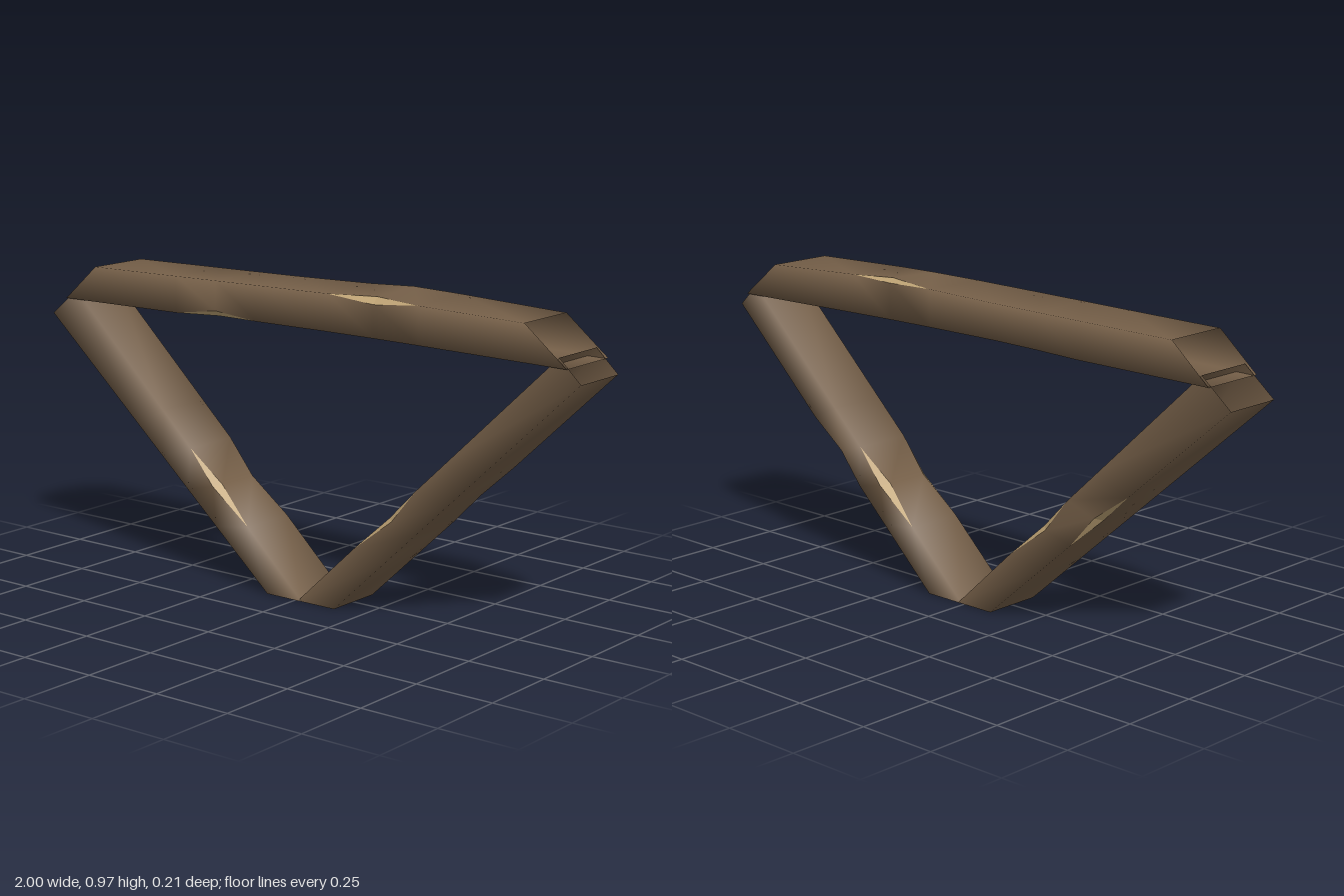
import * as THREE from 'three';
import { mergeVertices } from 'three/addons/utils/BufferGeometryUtils.js';

const wood = new THREE.MeshStandardMaterial({ color: 0x755f48, side: THREE.DoubleSide });
wood.name = 'weathered wood';
const bareWood = new THREE.MeshStandardMaterial({ color: 0xc2a677, side: THREE.DoubleSide });
bareWood.name = 'bare wood';

// Open-ended timber. Stations run towards +x: upper [x, y], lower [x, y] and
// chip depths for the four long edges: upper front, upper back, lower back, lower front.
function timber(name, halfDepth, stations) {
  const rings = stations.map(({ upper, lower, chips = [0, 0, 0, 0], lift = 0 }) => {
    const corners = [
      new THREE.Vector3(upper[0], upper[1], halfDepth),
      new THREE.Vector3(upper[0], upper[1] + lift, -halfDepth),
      new THREE.Vector3(lower[0], lower[1], -halfDepth),
      new THREE.Vector3(lower[0], lower[1], halfDepth),
    ];
    return corners.flatMap((c, i) => [3, 1].map((step) => {
      const dir = corners[(i + step) % 4].clone().sub(c).normalize();
      return c.clone().addScaledVector(dir, chips[i]);
    }));
  });

  const woodPoints = [];
  const chipPoints = [];
  const addTriangle = (list, a, b, c) => {
    const area = b.clone().sub(a).cross(c.clone().sub(a)).length();
    if (area > 1e-7) for (const p of [a, b, c]) list.push(p.x, p.y, p.z);
  };
  for (let k = 0; k < rings.length - 1; k++) {
    for (let j = 0; j < 8; j++) {
      const n = (j + 1) % 8;
      const list = j % 2 ? woodPoints : chipPoints;
      addTriangle(list, rings[k][j], rings[k + 1][j], rings[k][n]);
      addTriangle(list, rings[k + 1][j], rings[k + 1][n], rings[k][n]);
    }
  }

  const toGeometry = (points) => {
    const geometry = new THREE.BufferGeometry();
    geometry.setAttribute('position', new THREE.Float32BufferAttribute(points, 3));
    return geometry;
  };
  // Shared corners give the timber its soft, rounded shading
  const body = mergeVertices(toGeometry(woodPoints), 1e-4);
  body.computeVertexNormals();
  const scars = toGeometry(chipPoints);
  scars.computeVertexNormals();

  const group = new THREE.Group();
  group.name = name;
  const bodyMesh = new THREE.Mesh(body, wood);
  bodyMesh.name = name + 'Timber';
  const scarMesh = new THREE.Mesh(scars, bareWood);
  scarMesh.name = name + 'Chips';
  group.add(bodyMesh, scarMesh);
  return group;
}

// Sloping brace from its foot to its top, chipped on both inner edges and the outer back edge
function brace(name, foot, top) {
  const mix = (a, b, t) => [a[0] + (b[0] - a[0]) * t, a[1] + (b[1] - a[1]) * t];
  const chipsAt = { 0.36: [0.022, 0.024, 0, 0], 0.48: [0, 0, 0.02, 0] };
  const stations = [0, 0.23, 0.36, 0.48, 0.6, 1].map((t) => ({
    upper: mix(foot.inner, top.inner, t),
    lower: mix(foot.outer, top.outer, t),
    chips: chipsAt[t],
  }));
  if (top.outer[0] < foot.outer[0]) stations.reverse();
  return timber(name, 0.096, stations);
}

export function createModel() {
  const model = new THREE.Group();
  model.name = 'timberBracket';

  // Crossbeam with mitred ends
  model.add(timber('crossbeam', 0.107, [
    { upper: [-0.8, 0.95], lower: [-0.93, 0.837] },
    { upper: [-0.46, 0.954], lower: [-0.46, 0.84] },
    { upper: [-0.3, 0.956], lower: [-0.3, 0.845], chips: [0, 0, 0, 0.018] },
    { upper: [-0.14, 0.958], lower: [-0.14, 0.848] },
    { upper: [0.13, 0.961], lower: [0.13, 0.848], lift: 0.003 },
    { upper: [0.3, 0.966], lower: [0.3, 0.847], chips: [0.02, 0.015, 0, 0], lift: 0.009 },
    { upper: [0.46, 0.96], lower: [0.46, 0.845], lift: 0.006 },
    { upper: [0.82, 0.95], lower: [0.96, 0.837] },
  ]));

  // Two braces meeting at the bottom
  model.add(brace('leftBrace',
    { inner: [0.01, 0], outer: [0.15, 0] },
    { inner: [0.928, 0.865], outer: [1, 0.797] }));
  model.add(brace('rightBrace',
    { inner: [0.025, 0], outer: [-0.11, 0] },
    { inner: [-0.897, 0.865], outer: [-1, 0.78] }));
  return model;
}
